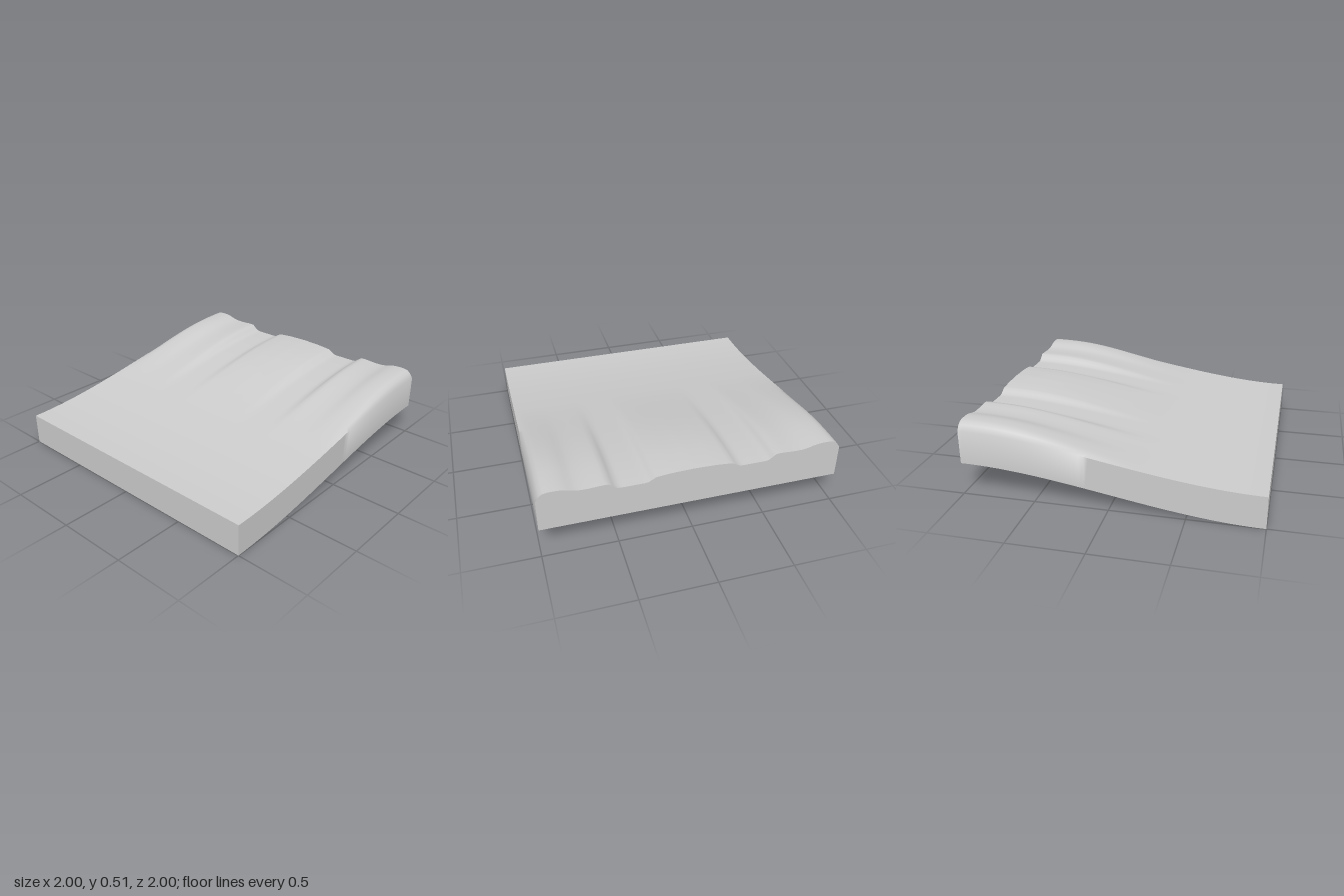
import * as THREE from 'three';
import { toCreasedNormals } from 'three/addons/utils/BufferGeometryUtils.js';

const THICKNESS = 0.222;
const RISE = 0.225;

// Ridge height above the plain slab, by distance from the centre line
const RIDGES = [
  [0, 0.046], [0.14, 0.042], [0.2, 0.037], [0.25, 0.032], [0.28, 0.014], [0.305, 0],
  [0.495, 0], [0.527, 0.023], [0.553, 0.044], [0.6, 0.043], [0.68, 0.038], [0.74, 0.039],
  [0.78, 0.047], [0.81, 0.058], [0.86, 0.066], [0.92, 0.066], [0.955, 0.06], [0.975, 0.045], [1, 0.008],
];

function ridgeHeight(z) {
  const d = Math.min(Math.abs(z), 1);
  const i = Math.max(1, RIDGES.findIndex(([p]) => p >= d - 1e-6));
  const [d0, h0] = RIDGES[i - 1];
  const [d1, h1] = RIDGES[i];
  return THREE.MathUtils.lerp(h0, h1, (d - d0) / (d1 - d0));
}

export function createModel() {
  const group = new THREE.Group();
  group.name = 'slopedTile';
  const grey = new THREE.MeshStandardMaterial({ color: 0xcccccc });
  grey.name = 'lightGrey';

  // Slab bent into an S-curve, with ridges growing towards the raised end
  const slab = new THREE.BoxGeometry(2, THICKNESS, 2, 64, 1, 80);
  const pos = slab.attributes.position;
  for (let i = 0; i < pos.count; i++) {
    const x = pos.getX(i);
    let y = RISE * THREE.MathUtils.smoothstep(x, -1, 1);
    if (pos.getY(i) > 0) {
      y += THICKNESS + ridgeHeight(pos.getZ(i)) * THREE.MathUtils.smoothstep(x, -0.25, 0.8);
    }
    pos.setY(i, y);
  }

  // The long edges turn smooth where the shoulders become steep
  const mesh = new THREE.Mesh(toCreasedNormals(slab, 1.165), grey);
  mesh.name = 'ridgedSlab';
  group.add(mesh);
  return group;
}
